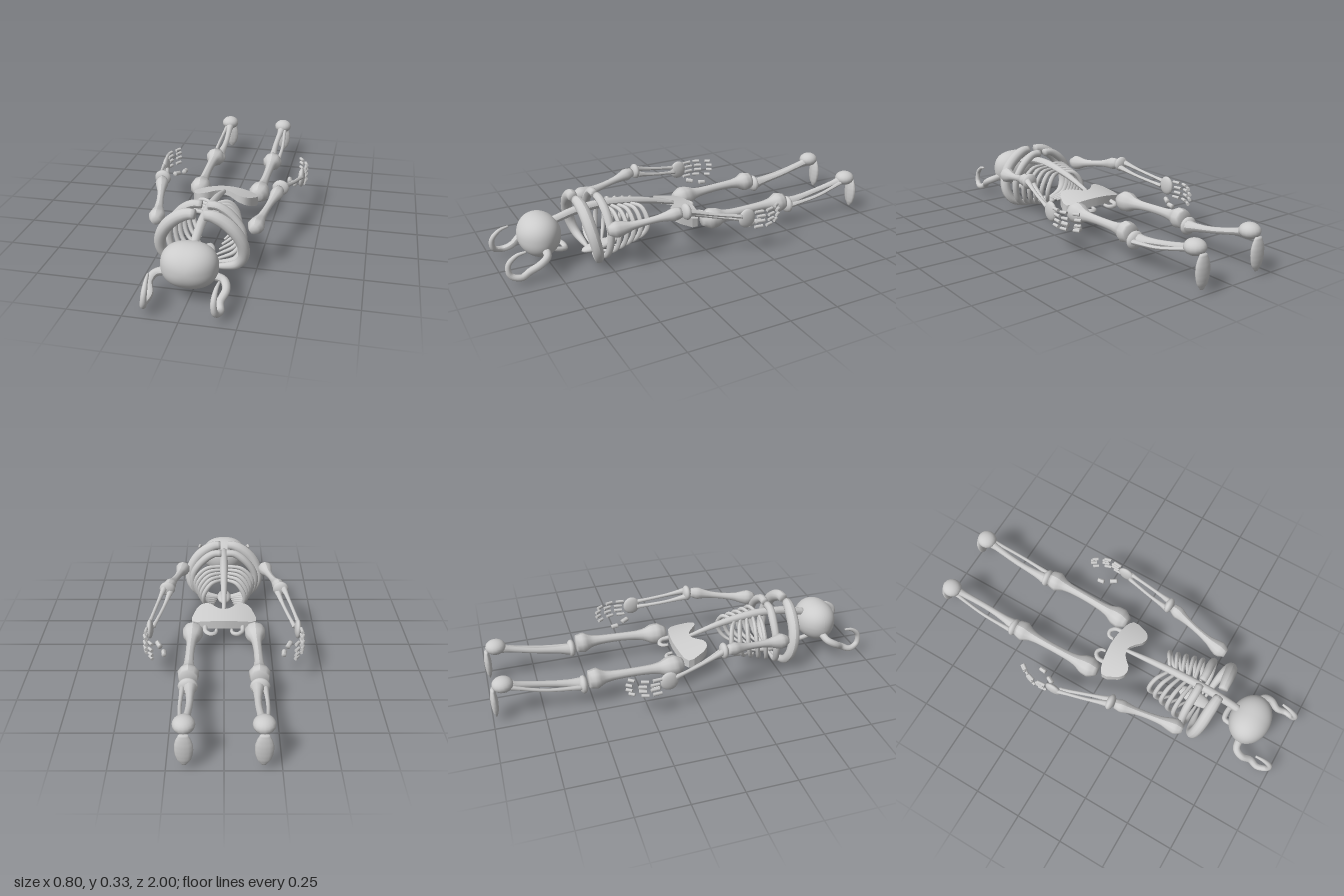
import * as THREE from 'three';

const mat = new THREE.MeshStandardMaterial({ color: 0xcccccc });
const V = (p, s = 1) => new THREE.Vector3(p[0] * s, p[1], p[2]);

// Piecewise linear lookup in evenly spaced values
function lookup(list, t) {
  const f = Math.min(Math.max(t, 0), 1) * (list.length - 1);
  const i = Math.min(Math.floor(f), list.length - 2);
  return list[i] + (list[i + 1] - list[i]) * (f - i);
}

// Closed tube along a curve whose radius follows a list of values
function boneGeometry(points, radii, n = 24, sides = 10) {
  const curve = new THREE.CatmullRomCurve3(points, false, 'centripetal');
  const geo = new THREE.TubeGeometry(curve, n, 1, sides);
  const pos = geo.attributes.position;
  for (let i = 0; i <= n; i++) {
    const t = Math.min(Math.max((i - 1) / (n - 2), 0), 1);
    const r = i === 0 || i === n ? 0 : lookup(radii, t);
    const from = curve.getPointAt(i / n), to = curve.getPointAt(t);
    for (let j = 0; j <= sides; j++) {
      const k = i * (sides + 1) + j;
      const v = new THREE.Vector3().fromBufferAttribute(pos, k).sub(from).multiplyScalar(r).add(to);
      pos.setXYZ(k, v.x, v.y, v.z);
    }
  }
  geo.computeVertexNormals();
  return geo;
}

// Slightly boxy skull, narrowed at the face, with open sockets on the underside
function skullGeometry() {
  const geo = new THREE.SphereGeometry(1, 96, 64);
  const pos = geo.attributes.position, keep = [];
  const holes = [[-0.36, -0.3, 0.22, 0.2], [0.36, -0.3, 0.22, 0.2], [0, -0.58, 0.09, 0.1]];
  const idx = geo.index.array;
  for (let i = 0; i < idx.length; i += 3) {
    let x = 0, y = 0, z = 0;
    for (let j = 0; j < 3; j++) {
      x += pos.getX(idx[i + j]) / 3;
      y += pos.getY(idx[i + j]) / 3;
      z += pos.getZ(idx[i + j]) / 3;
    }
    const open = y < 0 && holes.some(([hx, hz, a, b]) => ((x - hx) / a) ** 2 + ((z - hz) / b) ** 2 < 1);
    if (!open) keep.push(idx[i], idx[i + 1], idx[i + 2]);
  }
  geo.setIndex(keep);
  for (let i = 0; i < pos.count; i++) {
    const x = pos.getX(i), y = pos.getY(i), z = pos.getZ(i);
    const p = 2.35, square = Math.hypot(x, y) / Math.max(1e-6, (Math.abs(x) ** p + Math.abs(y) ** p) ** (1 / p));
    const narrow = 1 - 0.2 * Math.max(0, -y) * Math.max(0, -z);
    pos.setXYZ(i, x * square * 0.13 * narrow, y * square * 0.105, z * 0.105);
  }
  geo.computeVertexNormals();
  return geo;
}

// Winged plate bent down toward both hips, deeper along its tail rim
function pelvisGeometry() {
  const geo = new THREE.BoxGeometry(2, 1, 1, 32, 2, 8);
  const pos = geo.attributes.position;
  const head = [0.06, 0.066, 0.085, 0.112, 0.122, 0.12, 0.098, 0.035];
  const tail = [-0.035, -0.034, -0.032, -0.029, -0.025, -0.02, -0.014, 0.005];
  for (let i = 0; i < pos.count; i++) {
    const x = pos.getX(i), u = Math.abs(x), w = pos.getZ(i) + 0.5;
    const z = lookup(tail, u) + w * (lookup(head, u) - lookup(tail, u));
    const top = 0.178 - 0.03 * u * u + z * 0.2;
    const thick = 0.045 - 0.02 * w + 0.025 * w * u;
    pos.setXYZ(i, x * 0.17, top + (pos.getY(i) - 0.5) * thick, z);
  }
  geo.computeVertexNormals();
  return geo;
}

export function createModel() {
  const root = new THREE.Group();
  const add = (name, geo, p = [0, 0, 0]) => {
    const m = new THREE.Mesh(geo, mat);
    m.name = name;
    m.position.set(...p);
    root.add(m);
    return m;
  };
  const bone = (name, pts, radii, s = 1, n, sides) =>
    add(name, boneGeometry(pts.map(p => V(p, s)), radii, n, sides));
  const blob = (name, p, size, s = 1) => {
    const m = add(name, new THREE.SphereGeometry(1, 16, 12), [p[0] * s, p[1], p[2]]);
    m.scale.set(...size);
    return m;
  };

  // Head
  add('skull', skullGeometry(), [0, 0.167, 0.79]);
  bone('upperJaw', [[-0.046, 0.095, 0.75], [-0.044, 0.08, 0.695], [-0.036, 0.077, 0.674], [0.036, 0.077, 0.674],
    [0.044, 0.08, 0.695], [0.046, 0.095, 0.75]], [0.012, 0.014, 0.012], 1, 28, 8);

  // Spine, breastbone and pelvis
  bone('spine', [[0, 0.22, 0.72], [0, 0.25, 0.6], [0, 0.26, 0.45], [0, 0.235, 0.25], [0, 0.185, 0.06]],
    [0.02, 0.022, 0.022, 0.017, 0.01], 1, 32);
  blob('breastbone', [0, 0.034, 0.48], [0.04, 0.022, 0.1]).rotation.x = 0.15;
  add('pelvis', pelvisGeometry());

  for (const s of [-1, 1]) {
    // Curled horns
    bone('horn', [[0.1, 0.125, 0.79], [0.155, 0.112, 0.8], [0.173, 0.09, 0.84], [0.157, 0.058, 0.89], [0.168, 0.042, 0.935],
      [0.156, 0.06, 0.982], [0.15, 0.112, 0.986], [0.152, 0.152, 0.945], [0.156, 0.163, 0.9]],
    [0.02, 0.019, 0.018, 0.015, 0.013, 0.006], s, 40);

    // Heavy upper ribs
    bone('shoulderRib', [[0.022, 0.314, 0.6], [0.055, 0.312, 0.597], [0.11, 0.285, 0.592], [0.162, 0.235, 0.587], [0.195, 0.17, 0.577],
      [0.197, 0.1, 0.562], [0.165, 0.048, 0.547], [0.1, 0.022, 0.535], [0.03, 0.012, 0.53]],
    [0.024, 0.03, 0.031, 0.03, 0.028, 0.026, 0.022, 0.016, 0.006], s, 40, 12);
    bone('secondRib', [[0.015, 0.312, 0.49], [0.06, 0.31, 0.49], [0.125, 0.265, 0.485], [0.175, 0.19, 0.485],
      [0.178, 0.11, 0.49], [0.145, 0.045, 0.5], [0.03, 0.02, 0.51]],
    [0.02, 0.022, 0.02, 0.018, 0.014, 0.006], s, 36);

    // Slim lower ribs, sweeping toward the head at their ends
    for (let i = 0; i < 5; i++) {
      const k = i / 4, mix = (a, b) => a + (b - a) * k;
      const w = mix(0.163, 0.115), z = mix(0.43, 0.26), y = mix(0.25, 0.235);
      bone('rib', [[0.01, y, mix(0.45, 0.31)], [w * 0.6, y - 0.005, mix(0.435, 0.275)], [w * 0.95, y - 0.06, z],
        [w, 0.13, z + 0.005], [w * 0.85, mix(0.06, 0.085), mix(0.45, 0.29)],
        [mix(0.04, 0.06), mix(0.022, 0.055), mix(0.49, 0.34)]],
      [0.009, 0.012, 0.013, 0.011, 0.006], s, 28, 8);
    }

    // Pelvis hooks
    bone('pelvisHook', [[0.1, 0.13, -0.02], [0.095, 0.125, -0.065], [0.07, 0.122, -0.085], [0.045, 0.122, -0.073], [0.04, 0.125, -0.045]],
      [0.012, 0.012, 0.011, 0.008], s, 20, 8);

    // Arm
    bone('upperArm', [[0.235, 0.22, 0.52], [0.24, 0.222, 0.47], [0.27, 0.245, 0.31], [0.302, 0.27, 0.165]],
      [0.022, 0.042, 0.034, 0.023, 0.019, 0.017, 0.017, 0.019, 0.025, 0.034, 0.024], s, 28);
    blob('elbow', [0.305, 0.27, 0.142], [0.042, 0.04, 0.022], s);
    for (const [dx, dy] of [[-0.017, -0.012], [0.015, 0.01]])
      bone('forearmBone', [[0.305 + dx, 0.268 + dy, 0.14], [0.335 + dx, 0.237 + dy, 0.02], [0.372 + dx * 0.6, 0.207 + dy, -0.13]],
        [0.018, 0.012, 0.009, 0.009, 0.009, 0.012], s, 20, 8);
    blob('wrist', [0.377, 0.2, -0.16], [0.018, 0.05, 0.046], s);

    // Four fingers of three joints, and a thumb
    for (let f = 0; f < 4; f++) {
      const y = 0.228 - f * 0.027, back = f === 0 || f === 3 ? 0.012 : 0;
      const joints = [[0.39, -0.235], [0.389, -0.296], [0.358, -0.355]];
      joints.forEach(([x, z], j) => {
        const b = add('fingerBone', new THREE.CylinderGeometry(0.008, 0.009, [0.044, 0.038, 0.032][j], 8), [s * x, y, z + back]);
        b.rotation.set(Math.PI / 2, 0, s * [0.08, -0.3, -0.6][j]);
      });
    }
    bone('thumbBone', [[0.34, 0.142, -0.195], [0.322, 0.135, -0.23]], [0.013, 0.013], s, 8, 8);
    bone('thumbBone', [[0.303, 0.13, -0.258], [0.299, 0.128, -0.295]], [0.013, 0.012], s, 8, 8);

    // Leg
    bone('thigh', [[0.158, 0.13, -0.025], [0.163, 0.13, -0.1], [0.17, 0.14, -0.3], [0.17, 0.142, -0.518]],
      [0.03, 0.055, 0.052, 0.032, 0.025, 0.023, 0.022, 0.022, 0.023, 0.025, 0.032, 0.054, 0.044], s, 36);
    blob('knee', [0.17, 0.118, -0.545], [0.048, 0.045, 0.024], s);
    bone('shin', [[0.16, 0.118, -0.54], [0.155, 0.15, -0.73], [0.168, 0.195, -0.93]],
      [0.035, 0.022, 0.017, 0.016, 0.016, 0.018, 0.03], s, 24);
    bone('calfBone', [[0.195, 0.118, -0.55], [0.198, 0.142, -0.73], [0.185, 0.188, -0.91]],
      [0.014, 0.01, 0.009, 0.009, 0.012], s, 20, 8);
    blob('ankle', [0.17, 0.202, -0.932], [0.05, 0.038, 0.052], s);
    const foot = bone('foot', [[0, 0.185, 0], [0, 0.11, 0], [0, 0.025, 0]],
      [0.02, 0.033, 0.04, 0.041, 0.038, 0.03, 0.01], 1, 20, 12);
    foot.position.set(s * 0.17, 0, -0.982);
    foot.scale.z = 0.45;
  }
  return root;
}
